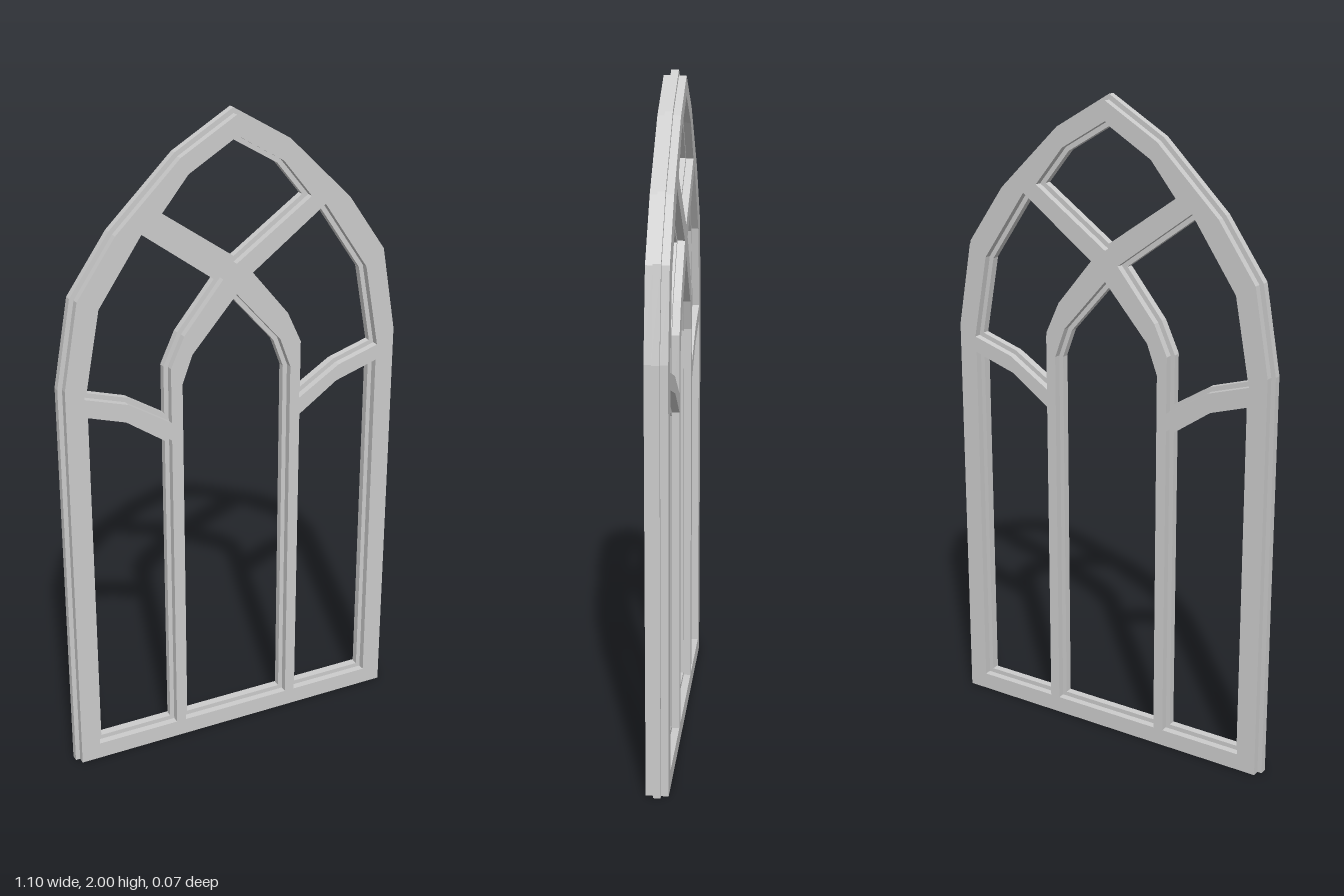
import * as THREE from 'three';

const STEP = 0.014;        // how far the moulding is set back from the core edges
const CORE = 0.011;        // half thickness of the core
const FULL = 0.033;        // half thickness including mouldings

const mirror = (pts) => pts.map(([x, y]) => [-x, y]);
// close a right-hand half profile (bottom to apex) symmetrically about x = 0
const symmetric = (half) => [...half, ...mirror(half.slice(0, -1)).reverse()];

// offset a closed polygon outwards (d > 0) or inwards (d < 0) with mitred corners
function offset(pts, d) {
  const v = pts.map(([x, y]) => new THREE.Vector2(x, y));
  const s = THREE.ShapeUtils.area(v) > 0 ? 1 : -1;
  const n = v.length;
  return v.map((p, i) => {
    const a = p.clone().sub(v[(i + n - 1) % n]).normalize();
    const b = v[(i + 1) % n].clone().sub(p).normalize();
    const na = new THREE.Vector2(a.y, -a.x).multiplyScalar(s);
    const nb = new THREE.Vector2(b.y, -b.x).multiplyScalar(s);
    const m = na.clone().add(nb).multiplyScalar(d / (1 + na.dot(nb)));
    return [p.x + m.x, p.y + m.y];
  });
}

// pointed outer outline
const outline = symmetric([
  [0.55, 0], [0.55, 1.26], [0.503, 1.523], [0.381, 1.698], [0.18, 1.894], [0, 2],
]);

// centre lancet, top diamond, and the paired side openings
const lancet = symmetric([[0.165, 0.067], [0.165, 1.205], [0.132, 1.293], [0, 1.443]]);
const diamond = symmetric([[0, 1.573], [0.22, 1.727], [0.138, 1.828], [0, 1.91]].slice(1));
diamond.push([0, 1.573]);
const sideLight = [[0.225, 0.067], [0.462, 0.067], [0.462, 1.157], [0.345, 1.12], [0.225, 1.037]];
const upperLight = [
  [0.225, 1.125], [0.34, 1.197], [0.463, 1.235], [0.418, 1.477],
  [0.283, 1.675], [0.063, 1.513], [0.18, 1.37], [0.225, 1.273],
];
const openings = [lancet, diamond, sideLight, mirror(sideLight), upperLight, mirror(upperLight)];

const toPoints = (pts) => pts.map(([x, y]) => new THREE.Vector2(x, y));

// one slab of tracery between z0 and z1, set back from every edge by inset
function tracery(name, inset, z0, z1, material) {
  // the foot stays flush with the ground
  const outer = offset(outline, -inset).map(([x, y]) => [x, y < 0.1 ? 0 : y]);
  const shape = new THREE.Shape(toPoints(outer));
  for (const o of openings) shape.holes.push(new THREE.Path(toPoints(offset(o, inset))));
  const geometry = new THREE.ExtrudeGeometry(shape, { depth: z1 - z0, bevelEnabled: false });
  geometry.translate(0, 0, z0);
  const mesh = new THREE.Mesh(geometry, material);
  mesh.name = name;
  return mesh;
}

export function createModel() {
  const group = new THREE.Group();
  group.name = 'archedWindowFrame';
  const material = new THREE.MeshStandardMaterial({ color: 0xcccccc, flatShading: true });
  group.add(
    tracery('frameCore', 0, -CORE, CORE, material),
    tracery('frontMoulding', STEP, CORE, FULL, material),
    tracery('backMoulding', STEP, -FULL, -CORE, material),
  );
  return group;
}
